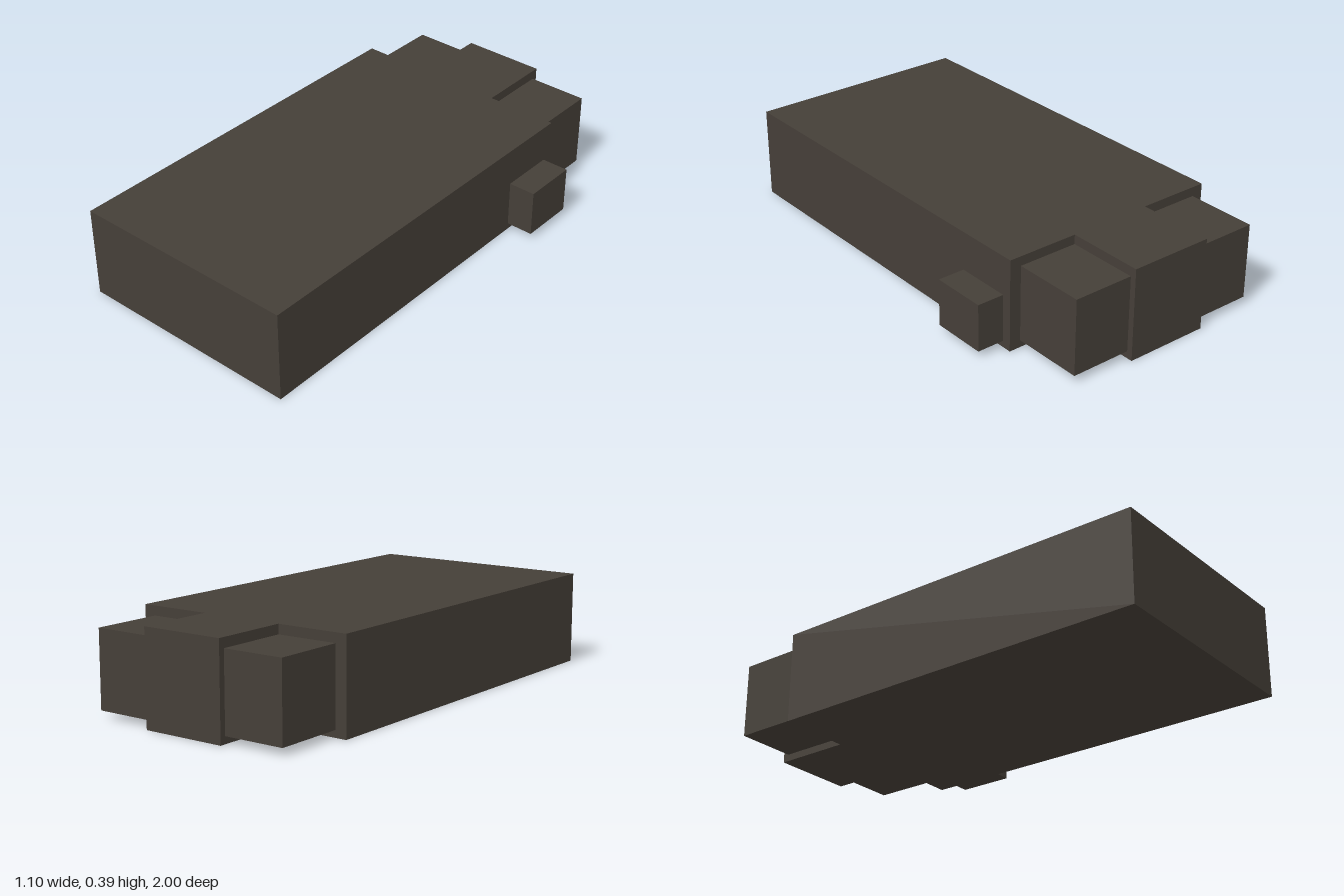
import * as THREE from 'three';

export function createModel() {
  const group = new THREE.Group();
  const darkBrown = new THREE.MeshStandardMaterial({ color: 0x453f38 });
  darkBrown.name = 'dark brown';

  const add = (name, geometry) => {
    const mesh = new THREE.Mesh(geometry, darkBrown);
    mesh.name = name;
    group.add(mesh);
    return mesh;
  };

  // Box given by its lowest and highest corners
  const addBox = (name, [x0, y0, z0], [x1, y1, z1]) => {
    const mesh = add(name, new THREE.BoxGeometry(x1 - x0, y1 - y0, z1 - z0));
    mesh.position.set((x0 + x1) / 2, (y0 + y1) / 2, (z0 + z1) / 2);
  };

  // Slab with a narrower tongue at the back, drawn as (x, -z) and extruded upwards
  const outline = new THREE.Shape([
    [-0.55, -1], [0.43, -1], [0.43, 0.67], [0.12, 0.67],
    [0.12, 1], [-0.24, 1], [-0.24, 0.67], [-0.55, 0.67],
  ].map(([x, y]) => new THREE.Vector2(x, y)));
  const body = new THREE.ExtrudeGeometry(outline, { depth: 0.39, bevelEnabled: false });
  body.rotateX(-Math.PI / 2);
  add('body', body);

  // Blocks filling the two back corners, slightly inset from the body
  addBox('leftCornerBlock', [0.12, 0.03, -0.975], [0.38, 0.35, -0.67]);
  addBox('rightCornerBlock', [-0.502, 0.03, -0.975], [-0.24, 0.35, -0.67]);

  // Small block on the left side
  addBox('sideBlock', [0.43, 0.027, -0.63], [0.547, 0.227, -0.393]);

  return group;
}
